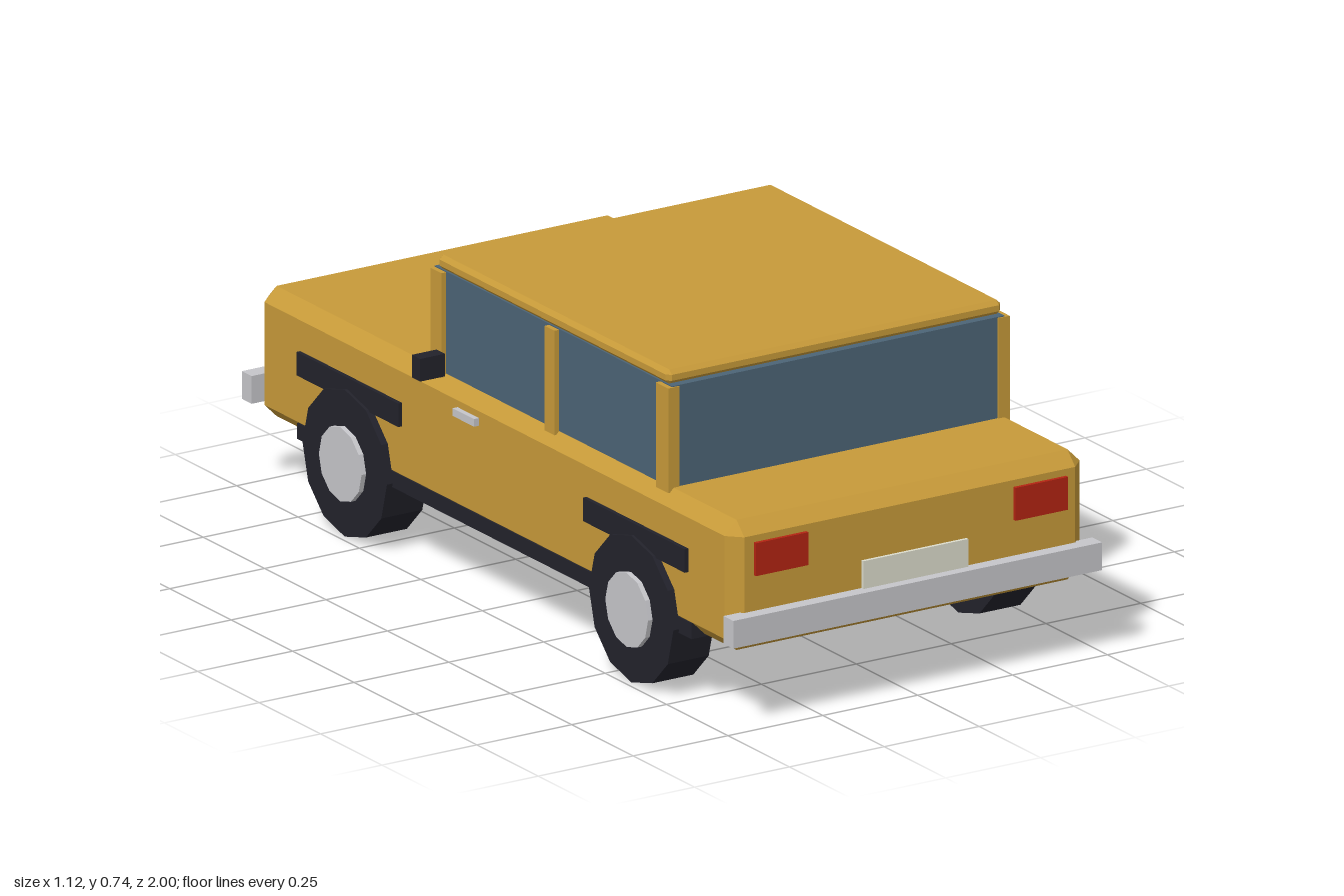
import * as THREE from 'three';
import { ConvexGeometry } from 'three/addons/geometries/ConvexGeometry.js';

const mat = (name, color) => new THREE.MeshStandardMaterial({ name, color });

// Box with every edge cut at 45 degrees, given by its extents
function chamferBox(x0, x1, y0, y1, z0, z1, c) {
  const half = [(x1 - x0) / 2, (y1 - y0) / 2, (z1 - z0) / 2];
  const points = [];
  for (const sx of [-1, 1]) for (const sy of [-1, 1]) for (const sz of [-1, 1]) {
    for (let axis = 0; axis < 3; axis++) {
      const p = half.map((h, i) => (i === axis ? h : h - c));
      points.push(new THREE.Vector3(sx * p[0], sy * p[1], sz * p[2]));
    }
  }
  return new ConvexGeometry(points).translate((x0 + x1) / 2, (y0 + y1) / 2, (z0 + z1) / 2);
}

export function createModel() {
  const car = new THREE.Group();
  car.name = 'car';
  const paint = mat('ochre paint', 0xc79a39);
  const glass = mat('blue glass', 0x4c6476);
  const dark = mat('black rubber', 0x22222b);
  const chrome = mat('chrome', 0xc6c6ca);
  const red = mat('red lens', 0xb32412);
  const lamp = mat('cream lens', 0xd8d0a8);
  const plate = mat('plate white', 0xdcdccc);

  const add = (name, geometry, material) => {
    const mesh = new THREE.Mesh(geometry, material);
    mesh.name = name;
    car.add(mesh);
    return mesh;
  };
  const box = (name, material, x0, x1, y0, y1, z0, z1) => {
    const g = new THREE.BoxGeometry(x1 - x0, y1 - y0, z1 - z0);
    return add(name, g.translate((x0 + x1) / 2, (y0 + y1) / 2, (z0 + z1) / 2), material);
  };
  // Same box on both sides of the car
  const pair = (name, material, x0, x1, ...rest) => {
    box(name + 'Left', material, x0, x1, ...rest);
    box(name + 'Right', material, -x1, -x0, ...rest);
  };

  // Body, floor and cabin
  add('body', chamferBox(-0.468, 0.468, 0.17, 0.475, -0.968, 0.968, 0.032), paint);
  box('floor', dark, -0.47, 0.47, 0.163, 0.2, -0.8, 0.805);
  box('cabinGlass', glass, -0.438, 0.438, 0.46, 0.712, -0.29, 0.677);
  add('roof', chamferBox(-0.441, 0.441, 0.71, 0.744, -0.275, 0.665, 0.01), paint);
  pair('frontPillar', paint, 0.42, 0.45, 0.465, 0.71, -0.288, -0.243);
  pair('middlePillar', paint, 0.42, 0.45, 0.465, 0.71, 0.177, 0.217);
  pair('rearPillar', paint, 0.42, 0.45, 0.465, 0.71, 0.629, 0.68);

  // Wheels with hubcaps, and the trim above them
  for (const z of [-0.583, 0.583]) {
    const end = z < 0 ? 'front' : 'rear';
    pair(end + 'Arch', dark, 0.45, 0.478, 0.316, 0.371, z - 0.207, z + 0.207);
    for (const s of [-1, 1]) {
      const tyre = new THREE.CylinderGeometry(0.172, 0.172, 0.108, 12).toNonIndexed();
      tyre.rotateZ(Math.PI / 2).translate(s * 0.431, 0.172, z).computeVertexNormals();
      add(end + 'Tyre', tyre, dark);
      const cap = new THREE.CylinderGeometry(0.087, 0.087, 0.03, 12).toNonIndexed();
      cap.rotateZ(Math.PI / 2).translate(s * 0.482, 0.172, z).computeVertexNormals();
      add(end + 'Hubcap', cap, chrome);
    }
  }

  // Bumpers and number plates
  for (const s of [-1, 1]) {
    const end = s < 0 ? 'front' : 'rear';
    const span = (a, b) => [Math.min(s * a, s * b), Math.max(s * a, s * b)];
    box(end + 'Bumper', chrome, -0.486, 0.486, 0.201, 0.266, ...span(0.96, 1));
    box(end + 'Plate', plate, -0.138, 0.138, 0.273, 0.338, ...span(0.985, 0.993));
  }

  // Lights and grille
  pair('tailLight', red, 0.273, 0.411, 0.35, 0.427, 0.96, 0.977);
  pair('headLight', lamp, 0.238, 0.402, 0.338, 0.431, -0.976, -0.96);
  box('grille', dark, -0.197, 0.197, 0.335, 0.433, -0.98, -0.96);

  // Door handles and wing mirrors
  pair('doorHandle', chrome, 0.46, 0.481, 0.409, 0.427, -0.15, -0.063);
  pair('mirror', dark, 0.493, 0.558, 0.5, 0.553, -0.197, -0.163);
  return car;
}
